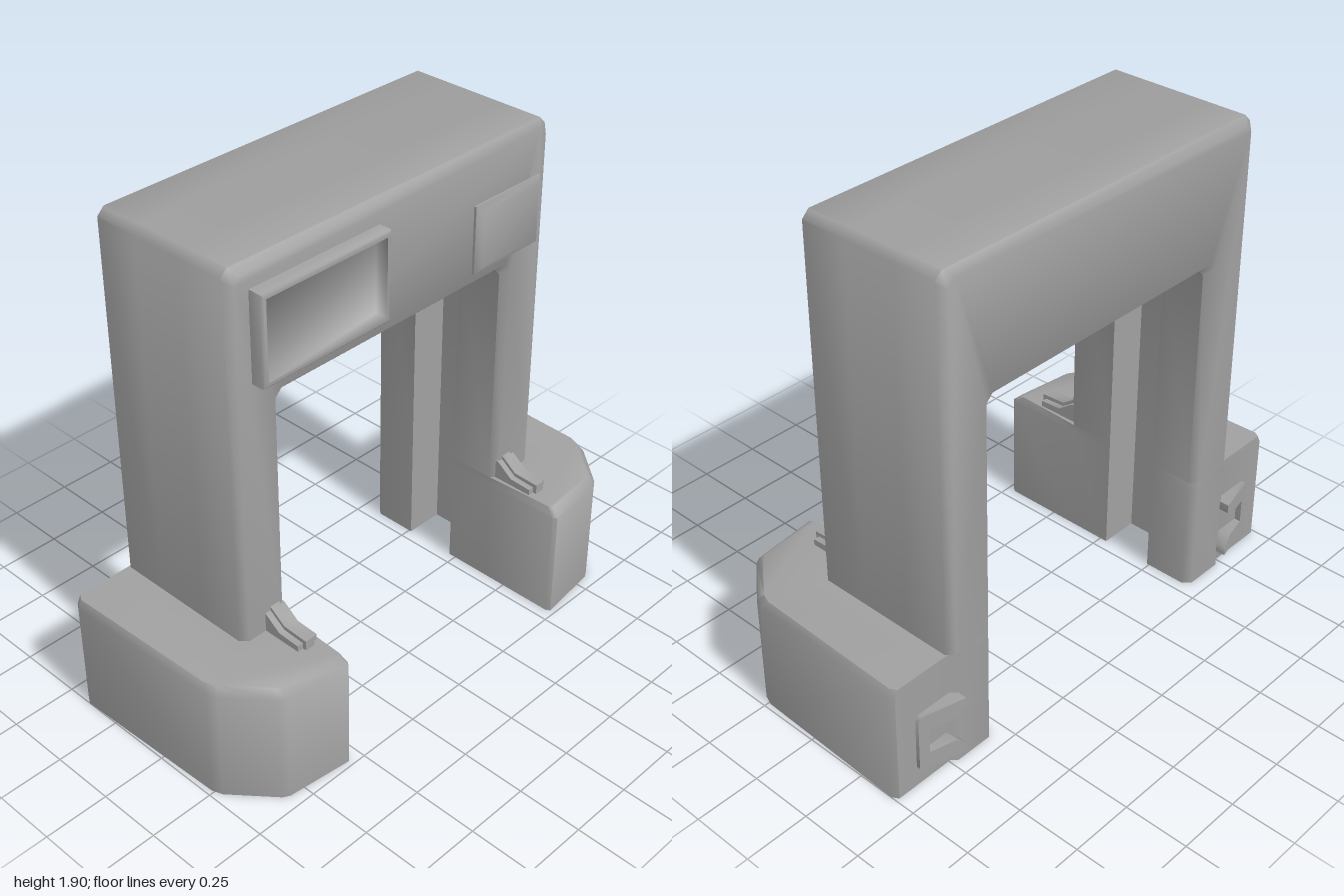
import * as THREE from 'three';
import { toCreasedNormals } from 'three/addons/utils/BufferGeometryUtils.js';

const grey = new THREE.MeshStandardMaterial({ color: 0xa0a0a0, side: THREE.DoubleSide });

function part(name, geometry, parent, crease = 0.9) {
  const mesh = new THREE.Mesh(toCreasedNormals(geometry, crease), grey);
  mesh.name = name;
  parent.add(mesh);
}

// Skin through sections [z, outline]; outlines run counterclockwise.
// start and end are optional cap outlines, skip lists outline edges left open.
function loft(sections, { start, end, skip = [] }) {
  const n = sections[0][1].length;
  const pos = [], index = [];
  for (const [z, outline] of sections) for (const [x, y] of outline) pos.push(x, y, z);
  for (let s = 0; s < sections.length - 1; s++) {
    for (let i = 0; i < n; i++) {
      if (skip.includes(i)) continue;
      const a = s * n + i, b = s * n + (i + 1) % n;
      index.push(a, b, b + n, a, b + n, a + n);
    }
  }
  const cap = (outline, z, flip) => {
    const first = pos.length / 3;
    for (const [x, y] of outline) pos.push(x, y, z);
    const pts = outline.map(([x, y]) => new THREE.Vector2(x, y));
    for (const [a, b, c] of THREE.ShapeUtils.triangulateShape(pts, [])) {
      index.push(first + a, first + (flip ? c : b), first + (flip ? b : c));
    }
  };
  if (start) cap(start, sections[0][0], true);
  if (end) cap(end, sections[sections.length - 1][0], false);
  const g = new THREE.BufferGeometry();
  g.setAttribute('position', new THREE.Float32BufferAttribute(pos, 3));
  g.setIndex(index);
  return g;
}

const shapeOf = (pts) => new THREE.Shape(pts.map(([x, y]) => new THREE.Vector2(x, y)));

const FOOT_TOP = 0.477;

// Arch outline above the feet: outer inset, and how far the opening is widened
function archOutline(inset, widen) {
  const W = 0.75 - inset, T = 1.905 - inset, w = 0.545 + widen, h = 1.39 + widen, c = 0.028, b = FOOT_TOP;
  return [
    [W, b], [W, T - c], [W - c, T], [-W + c, T], [-W, T - c], [-W, b],
    [-w, b], [-w, h - c], [-w + c, h], [w - c, h], [w, h - c], [w, b],
  ];
}

// Rectangle outline, shrunk by an inset
const rect = (l, r, b, t, i = 0) => [[l + i, b + i], [r - i, b + i], [r - i, t - i], [l + i, t - i]];

function buildFoot() {
  const foot = new THREE.Group();

  // Hollow foot, open below; its skin carries the leg and channel to the floor (y here is -z)
  const outer = [
    [0.545, -0.152], [0.545, -0.465], [0.555, -0.48], [0.81, -0.45], [0.835, -0.435],
    [0.965, -0.28], [0.98, -0.24], [1.0, 0.395], [0.985, 0.42], [0.742, 0.42],
  ];
  const leg = [
    [0.724, 0.44], [0.571, 0.44], [0.545, 0.412], [0.545, 0.24], [0.703, 0.24], [0.703, 0.03], [0.545, 0.03],
  ];
  const rim = outer.map(([x, y], i) => i === 0 ? [x, y] : [0.742 + (x - 0.742) * 0.94, 0.42 + (y - 0.42) * 0.965]);
  const shoulder = [...rim, [0.75, 0.412], [0.75, -0.152], [0.724, -0.18], [0.571, -0.18]];
  const full = [...outer, ...leg];
  const block = loft([[0, full], [0.447, full], [FOOT_TOP, [...rim, ...leg]]], { end: shoulder });
  part('footBlock', block.rotateX(-Math.PI / 2), foot);

  // Ribbed catch on top of the foot: one tall rib between two lower ones
  for (const [x, width, lift, front] of [[0.605, 0.04, 0, 0.35], [0.573, 0.024, -0.015, 0.335], [0.637, 0.024, -0.015, 0.335]]) {
    const profile = shapeOf([
      [0.16, 0.46], [front, 0.46], [front, 0.515 + lift], [0.245, 0.52 + lift], [0.18, 0.568 + lift], [0.16, 0.568 + lift],
    ]);
    const g = new THREE.ExtrudeGeometry(profile, { depth: width, bevelEnabled: false });
    g.translate(0, 0, -width / 2).rotateY(-Math.PI / 2).translate(x, 0, 0);
    part('catchRib', g, foot);
  }

  // Rear hook: C-shaped plate that thickens toward the prong tips
  const hook = shapeOf([
    [0.72, 0.07], [0.885, 0.07], [0.9, 0.085], [0.9, 0.295], [0.885, 0.31], [0.72, 0.31],
    [0.72, 0.275], [0.76, 0.24], [0.86, 0.24], [0.86, 0.14], [0.76, 0.14], [0.72, 0.105],
  ]);
  const g = new THREE.ExtrudeGeometry(hook, { depth: 1, bevelEnabled: false });
  const p = g.attributes.position;
  for (let i = 0; i < p.count; i++) {
    const reach = (0.9 - p.getX(i)) / 0.18;
    p.setZ(i, p.getZ(i) > 0.5 ? -0.41 : -0.435 - 0.045 * reach);
  }
  part('rearHook', g, foot);
  return foot;
}

export function createModel() {
  const model = new THREE.Group();
  model.name = 'gate';

  // Arch with chamfered edges and a channel running round the inside
  const rim = archOutline(0.026, 0.026), full = archOutline(0, 0), channel = archOutline(0, 0.158);
  part('arch', loft([
    [-0.44, rim], [-0.412, full], [-0.24, full], [-0.24, channel],
    [-0.03, channel], [-0.03, full], [0.152, full], [0.18, rim],
  ], { start: rim, end: rim, skip: [5, 11] }), model);

  // Display: bevelled frame around a softly shaded recess
  const display = (inset) => rect(-0.665, -0.1, 1.485, 1.82, inset);
  part('displayFrame', loft([
    [0.17, display(0)], [0.228, display(0)], [0.235, display(0.008)], [0.235, display(0.02)],
  ], {}), model);
  part('displayRecess', loft([[0.235, display(0.02)], [0.19, display(0.026)]], { end: display(0.026) }), model, 2);

  // Thin label panel with a shallow bevel
  const label = (inset) => rect(0.36, 0.695, 1.45, 1.71, inset);
  part('sidePanel', loft([[0.178, label(0)], [0.19, label(0)], [0.205, label(0.025)]], { end: label(0.025) }), model);

  // Mirrored feet
  for (const side of [1, -1]) {
    const foot = buildFoot();
    foot.name = side > 0 ? 'leftFoot' : 'rightFoot';
    foot.scale.x = side;
    model.add(foot);
  }
  return model;
}
